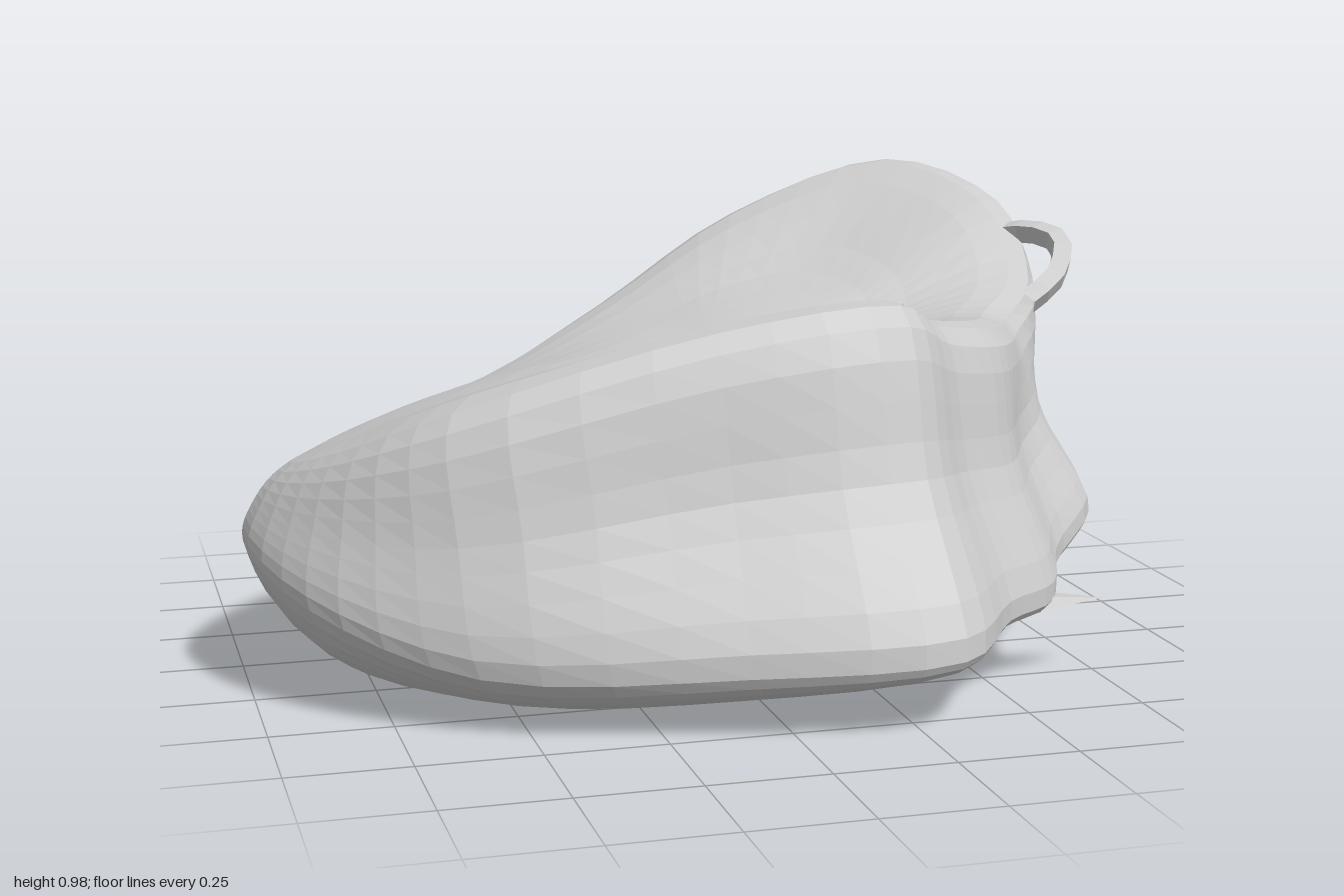
import * as THREE from 'three';

const V = (x, y, z) => new THREE.Vector3(x, y, z);

// Control ribs around the fragment: [flank], [upper rim], [base inset, base height]
const RIBS = [
  [[-1, 0.3, 0.1], [-0.9, 0.46, 0.1], [0.85, 0.1]],
  [[-0.9, 0.22, 0.4], [-0.82, 0.52, 0.31], [0.86, 0.06]],
  [[-0.6, 0.12, 0.63], [-0.62, 0.62, 0.48], [0.78, 0.015]],
  [[-0.1, 0.13, 0.8], [-0.1, 0.77, 0.56], [0.85, 0.05]],
  [[0.32, 0.15, 0.86], [0.28, 0.81, 0.56], [0.9, 0.1]],
  [[0.49, 0.17, 0.67], [0.4, 0.75, 0.46], [0.88, 0.13]],
  [[0.64, 0.17, 0.54], [0.55, 0.72, 0.35], [0.88, 0.13]],
  [[0.7, 0.21, 0.41], [0.65, 0.7, 0.2], [0.88, 0.15]],
  [[0.87, 0.27, 0.2], [0.74, 0.68, 0], [0.86, 0.2]],
  [[0.93, 0.24, -0.2], [0.88, 0.74, -0.2], [0.85, 0.17]],
  [[0.91, 0.25, -0.42], [0.9, 0.9, -0.45], [0.82, 0.12]],
  [[0.73, 0.4, -0.72], [0.72, 0.98, -0.76], [0.75, 0.07]],
  [[0.28, 0.5, -0.86], [0.32, 0.85, -0.79], [0.65, 0.025]],
  [[-0.08, 0.35, -0.78], [-0.05, 0.65, -0.67], [0.68, 0.06]],
  [[-0.45, 0.27, -0.55], [-0.42, 0.5, -0.45], [0.74, 0.1]],
  [[-0.83, 0.26, -0.28], [-0.75, 0.45, -0.2], [0.86, 0.12]],
];

// Closed spline through one point per rib
const ring = (pick) => new THREE.CatmullRomCurve3(RIBS.map(pick), true, 'centripetal');

// Skin a closed body: splines run around the rings, then from the underside up over the rim
function bodyGeometry(around, rows) {
  const bases = ring(([f, , [inset, y]]) => V(f[0] * inset, y, f[2] * inset));
  const flanks = ring(([f]) => V(...f));
  const rims = ring(([, r]) => V(...r));
  const under = V(0.05, 0.065, 0.05);
  const saddle = V(0.05, 0.63, -0.08);
  const pos = [];
  const index = [];
  for (let i = 0; i < around; i++) {
    const [base, flank, rim] = [bases, flanks, rims].map((c) => c.getPoint(i / around));
    // Walls are slightly hollow on the broken front right, full elsewhere
    const broken = THREE.MathUtils.smoothstep(0.8 * flank.x + 0.6 * flank.z, -0.1, 0.4);
    const swell = 1.03 - 0.05 * broken;
    const wall = flank.clone().lerp(rim, 0.5).multiply(V(swell, 1, swell));
    const inner = rim.clone().lerp(saddle, 0.5);
    inner.y += 0.2 * (saddle.y - rim.y) + 0.015; // hollow below high rims, bulge above low ones
    const rib = new THREE.CatmullRomCurve3(
      [under, base, flank, wall, rim, inner, saddle], false, 'centripetal');
    for (let j = 0; j <= rows; j++) pos.push(...rib.getPoint(j / rows).toArray());
  }
  const n = rows + 1;
  for (let i = 0; i < around; i++) {
    for (let j = 0; j < rows; j++) {
      const a = i * n + j;
      const b = ((i + 1) % around) * n + j;
      if (j > 0) index.push(a, b, a + 1);
      if (j < rows - 1) index.push(b, b + 1, a + 1);
    }
  }
  const g = new THREE.BufferGeometry();
  g.setAttribute('position', new THREE.Float32BufferAttribute(pos, 3));
  g.setIndex(index);
  g.computeVertexNormals();
  return g;
}

export function createModel() {
  const group = new THREE.Group();
  group.name = 'boneFragment';
  const material = new THREE.MeshStandardMaterial({ color: 0xcccccc, flatShading: true });
  const add = (name, geometry) => {
    const mesh = new THREE.Mesh(geometry, material);
    mesh.name = name;
    group.add(mesh);
  };

  // Main saddle-shaped mass
  add('body', bodyGeometry(64, 30));

  // Thin broken bridge leaving a small hole beside the rim
  const bridge = new THREE.CatmullRomCurve3([
    V(0.84, 0.7, -0.11), V(0.92, 0.75, -0.14), V(0.97, 0.82, -0.23), V(0.93, 0.84, -0.31), V(0.88, 0.83, -0.37),
  ]);
  add('brokenBridge', new THREE.TubeGeometry(bridge, 8, 0.03, 4, false));

  // Splinter pointing out of the lower front corner
  const splinter = new THREE.ConeGeometry(0.05, 0.16, 5);
  splinter.scale(1, 1, 0.5).rotateZ(-Math.PI / 2).rotateX(Math.PI / 2).translate(0.68, 0.16, 0.52);
  add('splinter', splinter);

  // Chipped corner on the front crest
  const chip = new THREE.ConeGeometry(0.035, 0.09, 4);
  chip.translate(0.3, 0.765, 0.52);
  add('crestChip', chip);

  return group;
}
